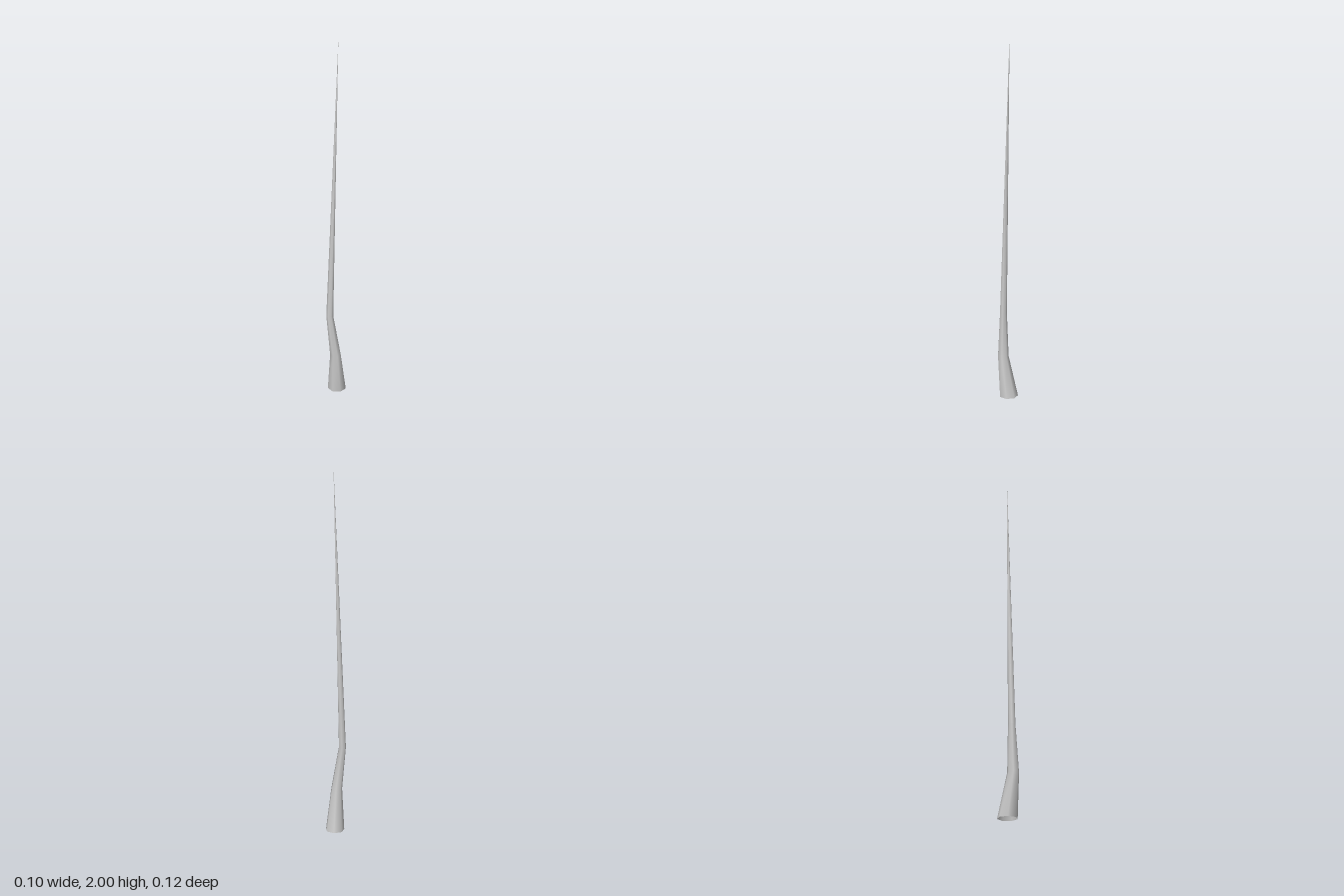
import * as THREE from 'three';

const SIDES = 7;

// Rings along the stem: centre x, y, z and radius
const RINGS = [
  [0, 0, -0.008, 0.053],
  [0.02, 0.235, 0.016, 0.031],
  [-0.001, 0.48, 0.04, 0.02],
  [0, 2, -0.016, 0.0002],
];

export function createModel() {
  const group = new THREE.Group();
  group.name = 'stalk';

  // Seven-sided open tube, bent and tapered ring by ring
  const geometry = new THREE.CylinderGeometry(1, 1, 1, SIDES, RINGS.length - 1, true);
  const pos = geometry.attributes.position;
  for (let i = 0; i < pos.count; i++) {
    const row = Math.floor(i / (SIDES + 1)); // rows run from the tip down
    const [x, y, z, r] = RINGS[RINGS.length - 1 - row];
    const angle = ((i % (SIDES + 1)) / SIDES) * Math.PI * 2;
    // one corner points straight back
    pos.setXYZ(i, x - r * Math.sin(angle), y, z - r * Math.cos(angle));
  }
  geometry.computeVertexNormals();

  // Match normals across the seam so the shading stays smooth
  const normal = geometry.attributes.normal;
  const a = new THREE.Vector3();
  const b = new THREE.Vector3();
  for (let row = 0; row < RINGS.length; row++) {
    const first = row * (SIDES + 1);
    const last = first + SIDES;
    a.fromBufferAttribute(normal, first);
    b.fromBufferAttribute(normal, last);
    a.add(b).normalize();
    normal.setXYZ(first, a.x, a.y, a.z);
    normal.setXYZ(last, a.x, a.y, a.z);
  }

  const stem = new THREE.Mesh(
    geometry,
    new THREE.MeshStandardMaterial({ color: 0xcccccc, side: THREE.DoubleSide }),
  );
  stem.name = 'taperedStem';
  group.add(stem);
  return group;
}
